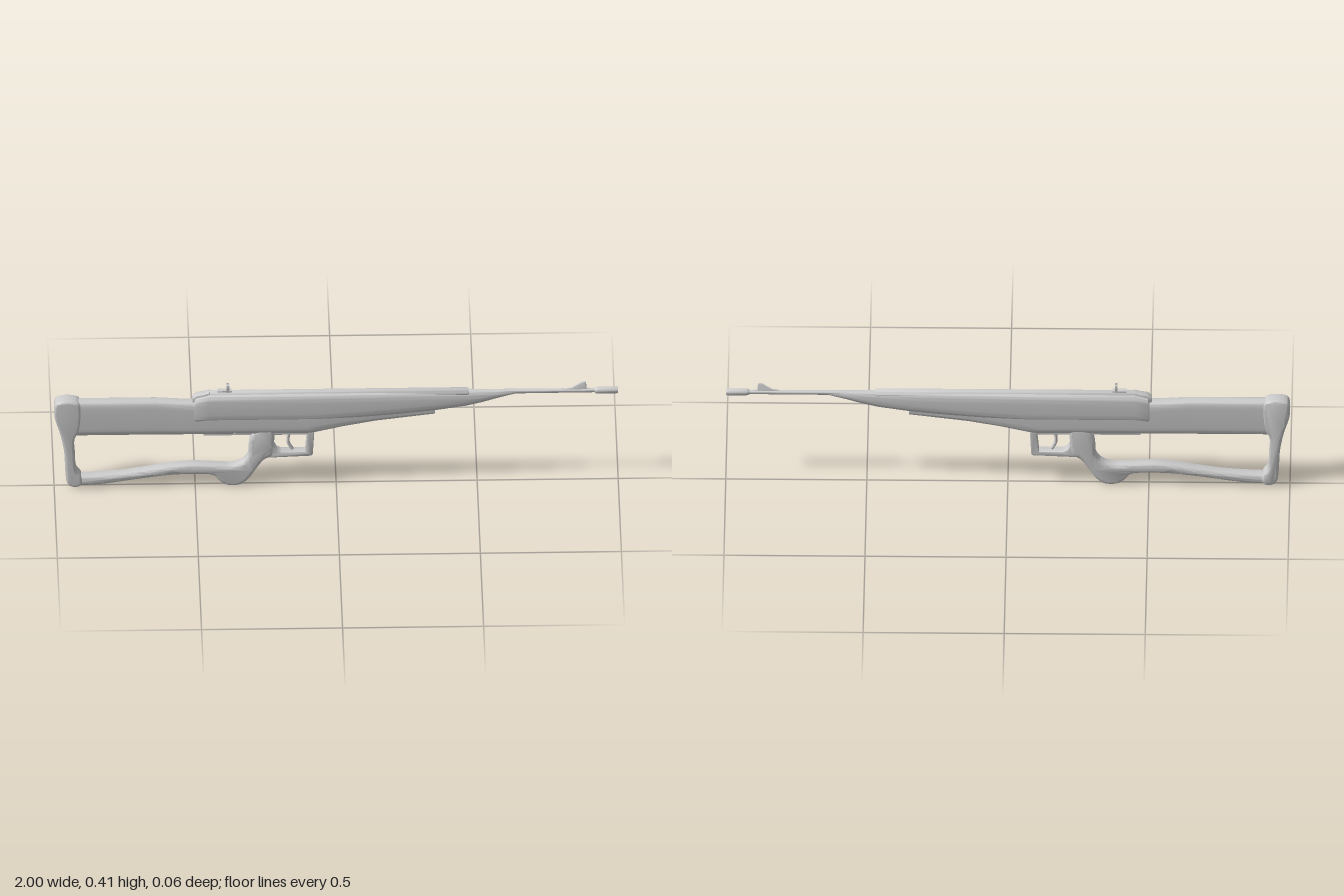
import * as THREE from 'three';
import { toCreasedNormals } from 'three/addons/utils/BufferGeometryUtils.js';

const material = new THREE.MeshStandardMaterial({ color: 0xcccccc, side: THREE.DoubleSide });
const vec = ([x, y]) => new THREE.Vector2(x, y);

function add(group, name, geometry, crease = 0.7) {
  const mesh = new THREE.Mesh(toCreasedNormals(geometry, crease), material);
  mesh.name = name;
  group.add(mesh);
  return mesh;
}

// Superelliptic sections along x; station = [x, bottom, top, half width, exponent]
function loft(stations, n = 32) {
  const pos = [], idx = [], last = stations.length - 1;
  for (const [x, y0, y1, w, e] of stations) {
    for (let j = 0; j < n; j++) {
      const a = (j / n) * Math.PI * 2, c = Math.cos(a), s = Math.sin(a);
      const r = (v) => Math.sign(v) * Math.abs(v) ** (2 / e);
      pos.push(x, (y0 + y1) / 2 + ((y1 - y0) / 2) * r(s), w * r(c));
    }
  }
  const caps = pos.length / 3;
  for (const i of [0, last]) pos.push(stations[i][0], (stations[i][1] + stations[i][2]) / 2, 0);
  for (let j = 0; j < n; j++) {
    const k = (j + 1) % n;
    for (let i = 0; i < last; i++) {
      const a = i * n + j, b = i * n + k;
      idx.push(a, a + n, b, b, a + n, b + n);
    }
    idx.push(caps, j, k, caps + 1, last * n + k, last * n + j);
  }
  const g = new THREE.BufferGeometry();
  g.setAttribute('position', new THREE.Float32BufferAttribute(pos, 3));
  g.setIndex(idx);
  return g;
}

// Side outline extruded symmetrically about z = 0 with rounded edges
function slab(points, half, bevel, { smooth = false, hole } = {}) {
  let outline = points.map(vec);
  if (smooth) {
    const curve = new THREE.CatmullRomCurve3(points.map(([x, y]) => new THREE.Vector3(x, y, 0)), true, 'centripetal');
    outline = curve.getPoints(points.length * 5).slice(0, -1).map((p) => new THREE.Vector2(p.x, p.y));
  }
  const shape = new THREE.Shape(outline);
  if (hole) shape.holes.push(new THREE.Path(hole.map(vec)));
  const depth = 2 * (half - bevel);
  return new THREE.ExtrudeGeometry(shape, {
    depth, bevelThickness: bevel, bevelSize: bevel, bevelOffset: -bevel, bevelSegments: 4,
  }).translate(0, 0, -depth / 2);
}

// Turned part along x; profile = [radius, x]
const turned = (profile, y) =>
  new THREE.LatheGeometry(profile.map(vec), 24).rotateZ(-Math.PI / 2).translate(0, y, 0);

export function createModel() {
  const group = new THREE.Group();

  // Upper stock running forward into the tapering forestock
  add(group, 'stock', loft([
    [-0.96, 0.213, 0.352, 0.026, 5], [-0.88, 0.213, 0.351, 0.025, 5], [-0.64, 0.213, 0.351, 0.025, 5],
    [-0.56, 0.213, 0.345, 0.026, 5], [-0.48, 0.213, 0.342, 0.027, 5], [-0.1, 0.213, 0.34, 0.027, 5],
    [-0.07, 0.217, 0.34, 0.027, 4.5], [0.03, 0.239, 0.34, 0.024, 4.5], [0.14, 0.258, 0.34, 0.02, 4.5],
    [0.25, 0.27, 0.34, 0.015, 4.5], [0.35, 0.281, 0.34, 0.011, 4.5],
  ]));

  // Butt, the thickest part of the skeleton stock
  add(group, 'butt', slab([
    [-1, 0.33], [-0.994, 0.35], [-0.972, 0.359], [-0.935, 0.359], [-0.912, 0.35], [-0.905, 0.32],
    [-0.912, 0.24], [-0.928, 0.2], [-0.926, 0.13], [-0.921, 0.07], [-0.905, 0.046], [-0.9, 0.025],
    [-0.91, 0.008], [-0.935, 0.006], [-0.953, 0.02], [-0.96, 0.06], [-0.965, 0.15], [-0.978, 0.22], [-0.998, 0.29],
  ], 0.03, 0.01, { smooth: true }));

  // Lower bar sweeping up into the pistol grip
  add(group, 'lowerBarAndGrip', slab([
    [-0.94, 0.012], [-0.9, 0.008], [-0.82, 0.013], [-0.74, 0.025], [-0.66, 0.037], [-0.58, 0.046], [-0.5, 0.048],
    [-0.435, 0.042], [-0.415, 0.02], [-0.39, 0.003], [-0.345, 0.002], [-0.315, 0.022], [-0.285, 0.065],
    [-0.255, 0.105], [-0.228, 0.12], [-0.222, 0.16], [-0.222, 0.23], [-0.25, 0.245], [-0.28, 0.23],
    [-0.302, 0.2], [-0.309, 0.165], [-0.312, 0.125], [-0.33, 0.098], [-0.37, 0.082], [-0.43, 0.084],
    [-0.52, 0.088], [-0.6, 0.08], [-0.68, 0.066], [-0.76, 0.054], [-0.85, 0.047], [-0.9, 0.045], [-0.94, 0.045],
  ], 0.024, 0.013, { smooth: true }), 0.9);

  // Trigger guard and trigger
  add(group, 'triggerGuard', slab(
    [[-0.255, 0.228], [-0.255, 0.112], [-0.21, 0.114], [-0.088, 0.119], [-0.083, 0.125], [-0.077, 0.228]],
    0.019, 0.004,
    { hole: [[-0.22, 0.207], [-0.22, 0.16], [-0.21, 0.143], [-0.195, 0.136], [-0.11, 0.136], [-0.103, 0.207]] },
  ));
  const triggerPath = new THREE.CatmullRomCurve3(
    [[-0.16, 0.22], [-0.17, 0.19], [-0.169, 0.165], [-0.155, 0.139]].map(([x, y]) => new THREE.Vector3(x, y, 0)));
  add(group, 'trigger', new THREE.TubeGeometry(triggerPath, 12, 0.006, 10));

  // Thin plate under the stock behind the grip
  add(group, 'underPlate', new THREE.BoxGeometry(0.17, 0.006, 0.034).translate(-0.385, 0.211, 0));

  // Receiver cover, tapering to the barrel
  add(group, 'receiverCover', loft([
    [-0.503, 0.267, 0.35, 0.028, 5], [-0.497, 0.264, 0.36, 0.03, 5], [-0.45, 0.264, 0.374, 0.03, 4],
    [-0.07, 0.264, 0.376, 0.03, 4], [0.1, 0.275, 0.376, 0.028, 3.6], [0.22, 0.284, 0.376, 0.025, 3.2],
    [0.35, 0.296, 0.376, 0.022, 2.8], [0.46, 0.312, 0.376, 0.019, 2.5], [0.52, 0.326, 0.375, 0.016, 2.3],
    [0.57, 0.341, 0.374, 0.013, 2.1], [0.635, 0.358, 0.373, 0.008, 2],
  ], 40));

  // Compression tube showing along the top
  add(group, 'topTube', turned([[0, -0.46], [0.015, -0.46], [0.017, -0.455], [0.017, 0.465], [0.015, 0.47], [0, 0.47]], 0.366));

  // Rear end cap
  add(group, 'endCap', slab(
    [[-0.51, 0.342], [-0.51, 0.36], [-0.495, 0.372], [-0.47, 0.376], [-0.45, 0.382], [-0.44, 0.36], [-0.46, 0.342]], 0.015, 0.004));

  // Barrel and hollow muzzle sleeve
  add(group, 'barrel', turned([[0, 0.45], [0.009, 0.45], [0.0075, 0.93], [0, 0.93]], 0.367));
  add(group, 'muzzle', turned([
    [0.007, 0.915], [0.011, 0.92], [0.0125, 0.93], [0.0125, 0.993], [0.011, 1], [0.007, 1], [0.006, 0.95], [0, 0.95],
  ], 0.367));

  // Front sight ramp and blade
  add(group, 'frontSight', slab(
    [[0.805, 0.365], [0.805, 0.374], [0.835, 0.379], [0.872, 0.402], [0.886, 0.403], [0.888, 0.376], [0.91, 0.374], [0.91, 0.365]],
    0.004, 0.001));

  // Rear sight: base and notched upright leaf
  add(group, 'rearSightBase', new THREE.BoxGeometry(0.05, 0.01, 0.018).translate(-0.395, 0.381, 0));
  const right = [[0.011, 0.375], [0.009, 0.388], [0.012, 0.396], [0.01, 0.409], [0.006, 0.411], [0.004, 0.4]];
  const leaf = new THREE.Shape([...right, ...right.map(([z, y]) => [-z, y]).reverse()].map(vec));
  add(group, 'rearSightLeaf', new THREE.ExtrudeGeometry(leaf, { depth: 0.01, bevelEnabled: false })
    .rotateY(Math.PI / 2).translate(-0.389, 0, 0));

  return group;
}
